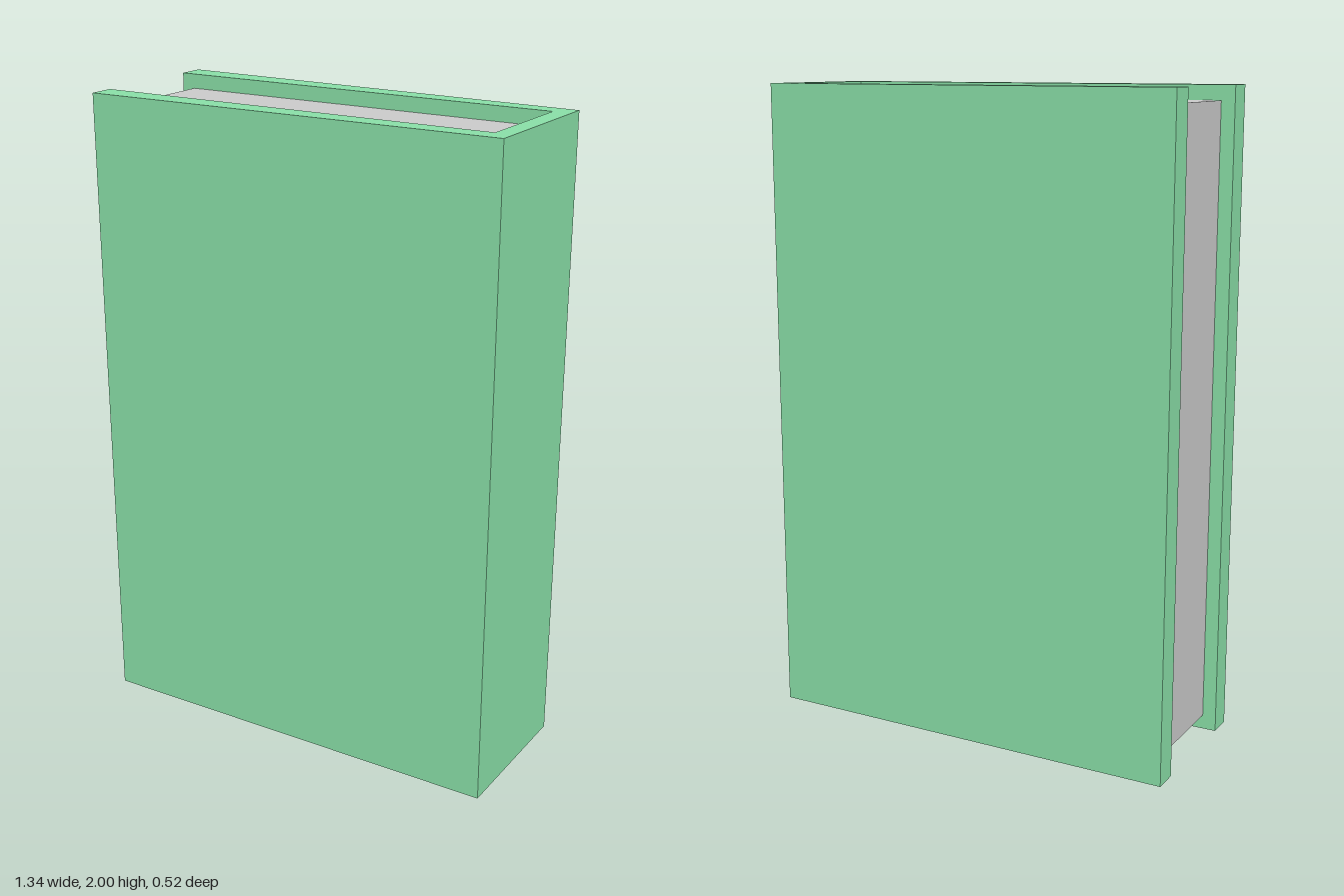
import * as THREE from 'three';

export function createModel() {
  const model = new THREE.Group();
  model.name = 'book';

  // Cover: C-shaped section with tapering boards, extruded upward
  const section = new THREE.Shape([
    [-0.67, -0.26], [0.67, -0.235], [0.67, 0.24], [-0.67, 0.265],
    [-0.67, 0.184], [0.615, 0.184], [0.615, -0.175], [-0.67, -0.18],
  ].map(([x, y]) => new THREE.Vector2(x, y)));
  const coverGeometry = new THREE.ExtrudeGeometry(section, { depth: 2, bevelEnabled: false });
  coverGeometry.rotateX(-Math.PI / 2);
  const cover = new THREE.Mesh(
    coverGeometry,
    new THREE.MeshStandardMaterial({ color: 0x8ae0a8 })
  );
  cover.name = 'cover';
  model.add(cover);

  // Page block: set back from the open edges of the cover
  const pages = new THREE.Mesh(
    new THREE.BoxGeometry(1.243, 1.91, 0.362),
    new THREE.MeshStandardMaterial({ color: 0xcccccc })
  );
  pages.name = 'pages';
  pages.position.set(-0.0065, 1, -0.003);
  model.add(pages);

  return model;
}
